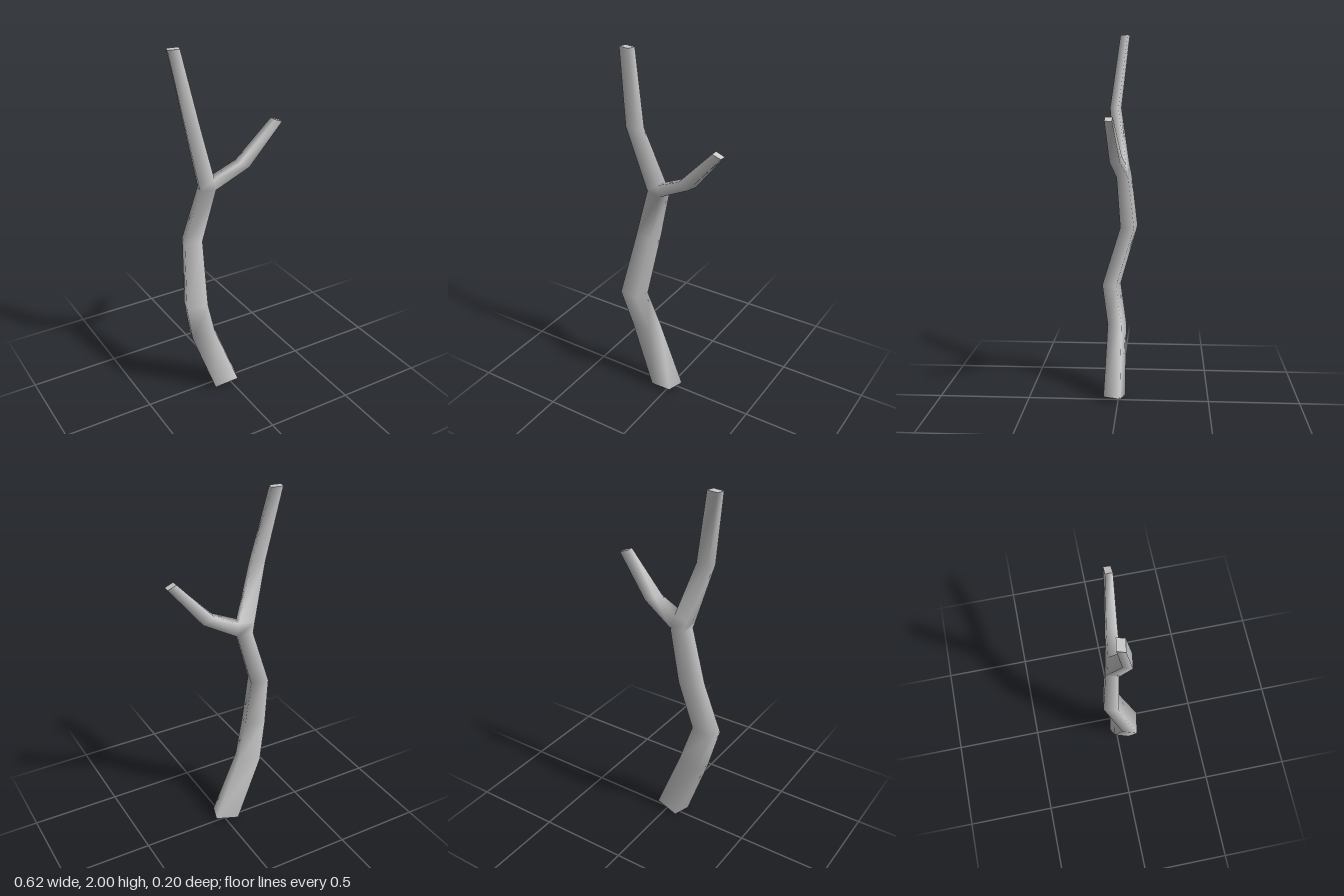
import * as THREE from 'three';

// Four-cornered section: front left, front right, back right, back left.
// The section is slightly skewed in plan; tilt raises its right-hand edge.
function section([x, y, z, w, d, tilt]) {
  return [[-1, -1], [1, -1], [1, 1], [-1, 1]].map(([u, v]) => [
    x + (u * w + v * d * 0.32) / 2,
    y + (u * w * tilt) / 2,
    z + (u * w * 0.17 - v * d) / 2,
  ]);
}

export function createModel() {
  const positions = [];
  const indices = [];
  const addRing = (pts) => pts.map((p) => positions.push(...p) / 3 - 1);
  const quad = (a, b, c, d) => indices.push(a, b, c, a, c, d);

  // Skin the sides between two rings, optionally leaving one side open
  const bridge = (a, b, open = -1) => {
    for (let i = 0; i < 4; i++) {
      const j = (i + 1) % 4;
      if (i !== open) quad(a[i], a[j], b[j], b[i]);
    }
  };
  // Flat end with its own vertices so its rim stays sharp
  const cap = (pts, flip) => {
    const r = addRing(pts);
    if (flip) r.reverse();
    quad(...r);
  };

  // Trunk: centre x, y, z, width, depth, tilt
  const trunk = [
    [-0.02, 0.015, 0.022, 0.135, 0.093, 0.2],
    [-0.162, 0.39, 0.015, 0.13, 0.078, 0.15],
    [-0.218, 0.61, 0.05, 0.118, 0.08, 0.08],
    [-0.18, 0.95, -0.05, 0.098, 0.078, 0],
    [-0.1, 1.242, -0.027, 0.087, 0.065, -0.1],
    [-0.115, 1.303, -0.017, 0.088, 0.06, 0.05],
    [-0.205, 1.605, 0.025, 0.075, 0.047, 0],
    [-0.275, 2.0, -0.023, 0.062, 0.04, 0],
  ].map(section);
  const fork = 4;
  const rings = trunk.map(addRing);
  for (let i = 0; i < rings.length - 1; i++) {
    bridge(rings[i], rings[i + 1], i === fork ? 1 : -1);
  }
  cap(trunk[0], true);
  cap(trunk[trunk.length - 1], false);

  // Side branch grows out of the open side at the fork
  const elbow = [[0.12, 1.335, 0.038], [0.135, 1.335, -0.018], [0.07, 1.368, -0.022], [0.06, 1.365, 0.034]];
  const tip = [[0.31, 1.556, 0.05], [0.312, 1.556, 0.012], [0.262, 1.575, 0.012], [0.262, 1.575, 0.052]];
  const lo = rings[fork];
  const hi = rings[fork + 1];
  const elbowRing = addRing(elbow);
  bridge([lo[1], lo[2], hi[2], hi[1]], elbowRing);
  bridge(elbowRing, addRing(tip));
  cap(tip, false);

  const geometry = new THREE.BufferGeometry();
  geometry.setAttribute('position', new THREE.Float32BufferAttribute(positions, 3));
  geometry.setIndex(indices);
  geometry.computeVertexNormals();

  const branch = new THREE.Mesh(geometry, new THREE.MeshStandardMaterial({ color: 0xcccccc }));
  branch.name = 'forkedBranch';
  const group = new THREE.Group();
  group.name = 'treeBranch';
  group.add(branch);
  return group;
}
